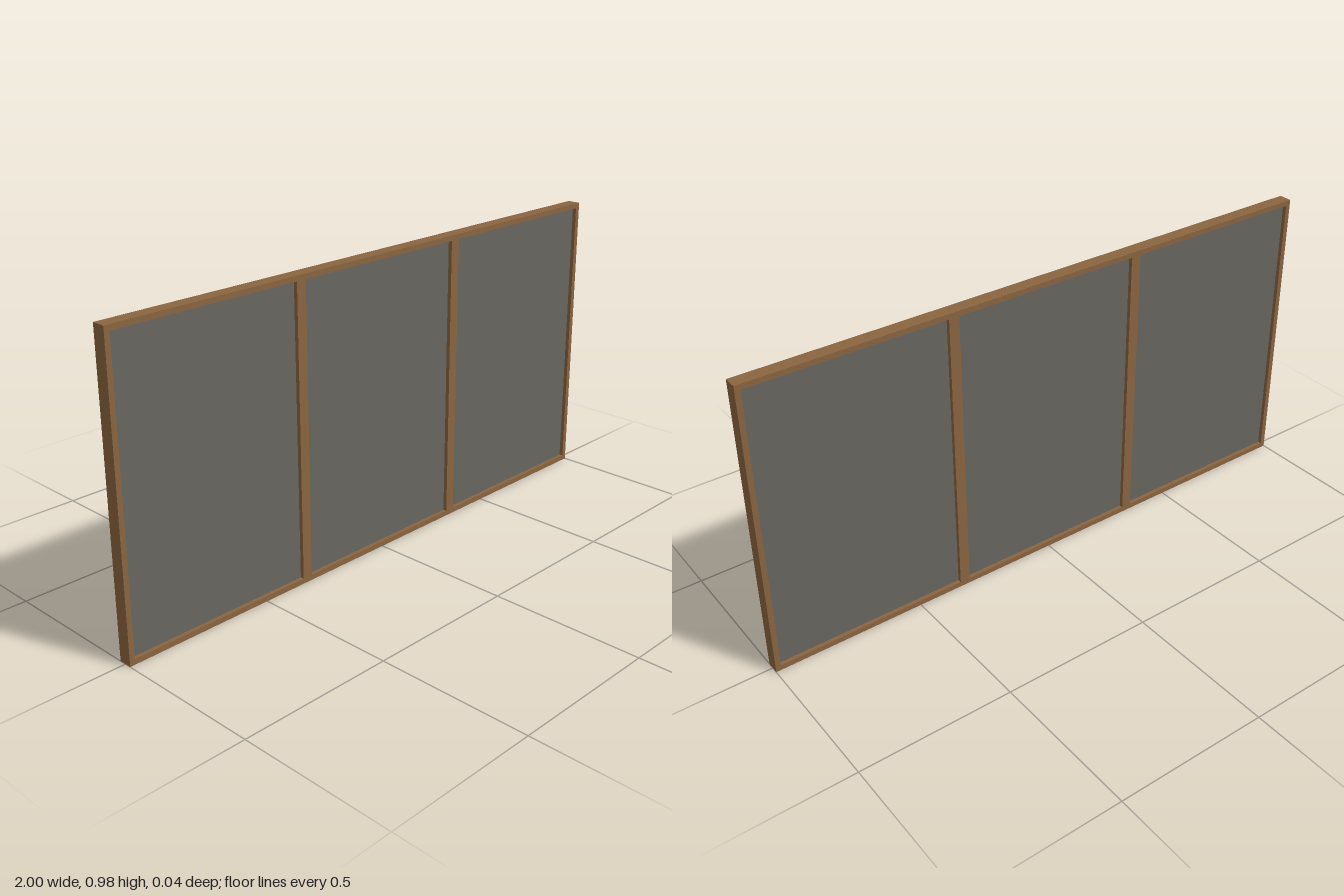
import * as THREE from 'three';

const WIDTH = 2, HEIGHT = 0.975, DEPTH = 0.044;
const RAIL = 0.017;          // frame width around each bay
const PANEL_DEPTH = 0.018;
const BAYS = 3;

export function createModel() {
  const wood = new THREE.MeshStandardMaterial({ color: 0x8a6540 });
  wood.name = 'brown wood';
  const grey = new THREE.MeshStandardMaterial({ color: 0x696660 });
  grey.name = 'grey panel';

  const model = new THREE.Group();
  model.name = 'panelledScreen';

  // Rectangular outline, lower left corner and size
  const rectangle = (path, x, y, w, h) => path
    .moveTo(x, y).lineTo(x + w, y).lineTo(x + w, y + h).lineTo(x, y + h).closePath();

  const outline = new THREE.Shape();
  rectangle(outline, -WIDTH / 2, 0, WIDTH, HEIGHT);

  const bay = WIDTH / BAYS;
  const openW = bay - 2 * RAIL, openH = HEIGHT - 2 * RAIL;

  for (let i = 0; i < BAYS; i++) {
    const left = -WIDTH / 2 + i * bay + RAIL;

    // Opening in the frame
    const hole = new THREE.Path();
    rectangle(hole, left, RAIL, openW, openH);
    outline.holes.push(hole);

    // Recessed infill panel
    const panel = new THREE.Mesh(new THREE.BoxGeometry(openW, openH, PANEL_DEPTH), grey);
    panel.name = `panel${i + 1}`;
    panel.position.set(left + openW / 2, HEIGHT / 2, 0);
    model.add(panel);
  }

  // Frame with its two uprights
  const frameGeometry = new THREE.ExtrudeGeometry(outline, { depth: DEPTH, bevelEnabled: false });
  frameGeometry.translate(0, 0, -DEPTH / 2);
  const frame = new THREE.Mesh(frameGeometry, wood);
  frame.name = 'frame';
  model.add(frame);

  return model;
}
